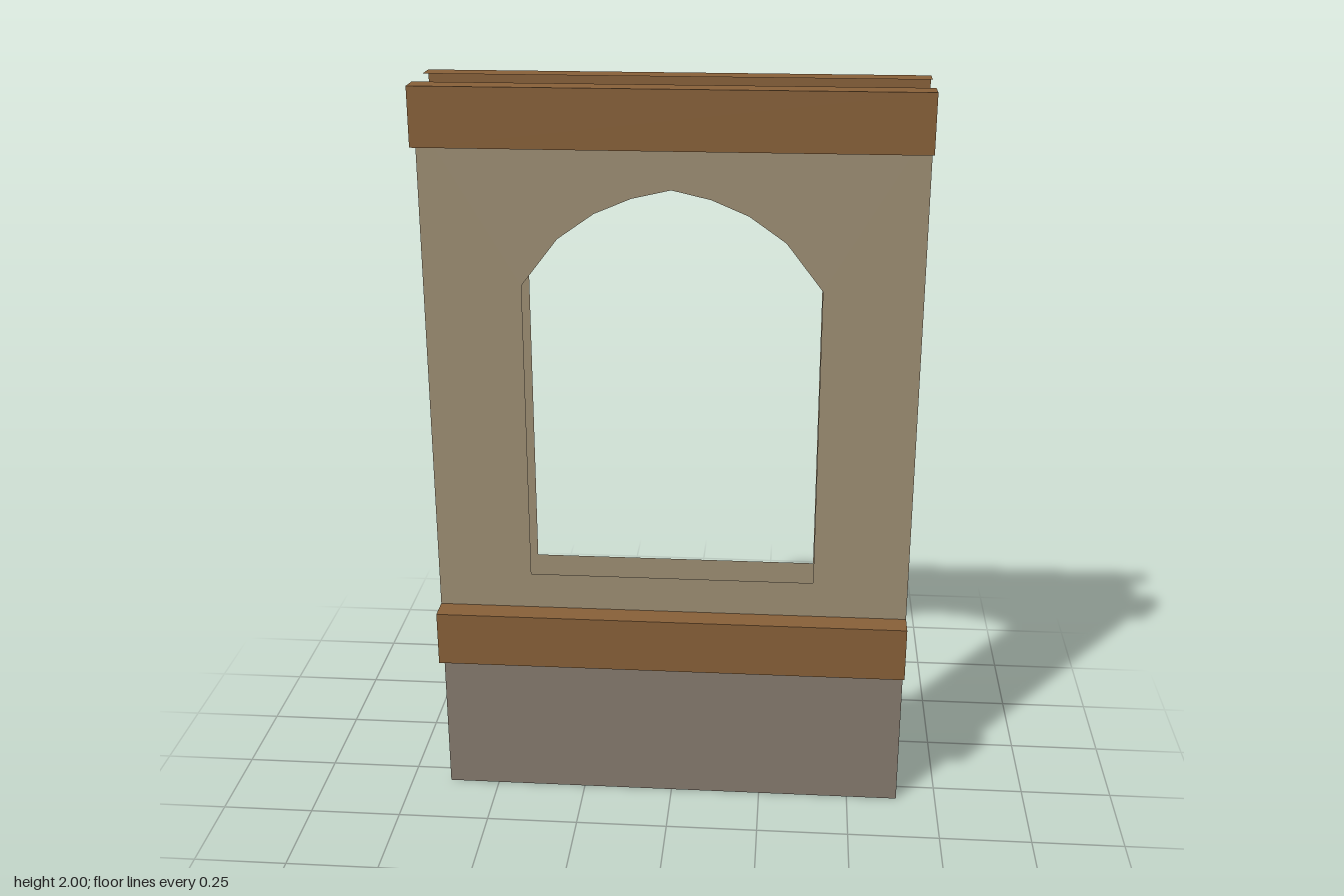
import * as THREE from 'three';

const HALF = 0.64;   // half width of the wall
const INNER = 0.063; // distance of each wall sheet from the middle
const OUTER = 0.13;  // outer face of the beams

const material = (name, color) =>
  new THREE.MeshStandardMaterial({ name, color, side: THREE.DoubleSide });

// Flat rectangle outline in x and y
function rectangle(y0, y1) {
  return new THREE.Shape([
    new THREE.Vector2(-HALF, y0), new THREE.Vector2(HALF, y0),
    new THREE.Vector2(HALF, y1), new THREE.Vector2(-HALF, y1),
  ]);
}

// Pointed, faceted window opening
function windowHole() {
  const arch = [[0.385, 1.487], [0.29, 1.61], [0.195, 1.677], [0.1, 1.717]];
  const right = [[0.385, 0.67], ...arch];
  const left = right.map(([x, y]) => [-x, y]).reverse();
  return new THREE.Path([...right, [0, 1.74], ...left].map(([x, y]) => new THREE.Vector2(x, y)));
}

// Thin sheet on the front (side = 1) or back (side = -1)
function sheet(name, shape, mat, side) {
  const mesh = new THREE.Mesh(new THREE.ShapeGeometry(shape), mat);
  mesh.name = name;
  mesh.position.z = side * INNER;
  if (side < 0) mesh.rotation.y = Math.PI;
  return mesh;
}

// Hollow beam: outer face, top and underside, open at the ends and behind
function beam(name, y0, y1, mat, side) {
  const group = new THREE.Group();
  group.name = name;
  const depth = OUTER - INNER;
  const add = (part, h, y, z, tilt) => {
    const mesh = new THREE.Mesh(new THREE.PlaneGeometry(2 * HALF, h), mat);
    mesh.name = part;
    mesh.position.set(0, y, z);
    mesh.rotation.x = tilt;
    group.add(mesh);
  };
  add('beamFace', y1 - y0, (y0 + y1) / 2, OUTER, 0);
  add('beamTop', depth, y1, (INNER + OUTER) / 2, -Math.PI / 2);
  add('beamUnderside', depth, y0, (INNER + OUTER) / 2, Math.PI / 2);
  if (side < 0) group.rotation.y = Math.PI;
  return group;
}

export function createModel() {
  const plaster = material('plaster', 0x9f9075);
  const wood = material('wood', 0x8a623a);
  const stone = material('stone', 0x877c70);
  const model = new THREE.Group();
  model.name = 'windowWall';

  // Plaster sheets with the window cut through both
  const front = rectangle(0.57, 1.92);
  const back = rectangle(0, 1.92);
  for (const shape of [front, back]) shape.holes.push(windowHole());
  model.add(sheet('frontPlaster', front, plaster, 1));
  model.add(sheet('backPlaster', back, plaster, -1));

  // Stone footing on the front only
  model.add(sheet('frontStoneBase', rectangle(0, 0.42), stone, 1));

  // Timber beams
  model.add(beam('frontTopBeam', 1.85, 2, wood, 1));
  model.add(beam('backTopBeam', 1.85, 2, wood, -1));
  model.add(beam('frontSillBeam', 0.42, 0.57, wood, 1));
  return model;
}
